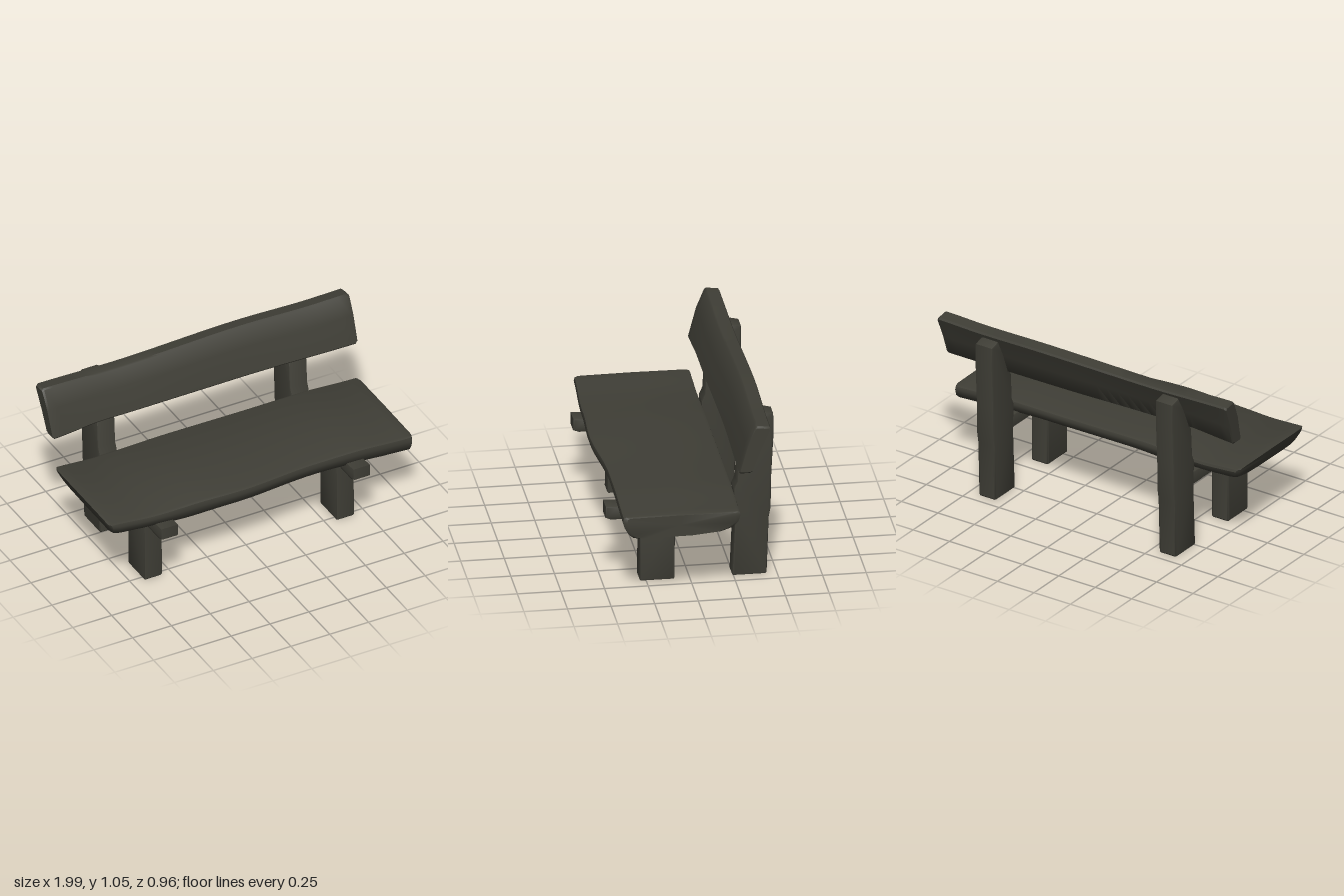
import * as THREE from 'three';
import { toCreasedNormals } from 'three/addons/utils/BufferGeometryUtils.js';

// Smoothly interpolate a small table of [x, value] pairs
function sample(table, x) {
  if (x <= table[0][0]) return table[0][1];
  for (let i = 1; i < table.length; i++) {
    const [x0, a] = table[i - 1], [x1, b] = table[i];
    if (x <= x1) {
      const t = (x - x0) / (x1 - x0);
      return a + (b - a) * t * t * (3 - 2 * t);
    }
  }
  return table[table.length - 1][1];
}

// Skin closed rings running along +x (each counter-clockwise seen from +x), with end caps
function loft(rings, crease) {
  const n = rings[0].length, pos = [], idx = [];
  rings.forEach(r => r.forEach(p => pos.push(...p)));
  for (let i = 0; i < rings.length - 1; i++) {
    for (let j = 0; j < n; j++) {
      const k = (j + 1) % n, a = i * n + j, b = i * n + k;
      idx.push(a, b, b + n, a, b + n, a + n);
    }
  }
  for (const end of [0, rings.length - 1]) {
    const c = pos.length / 3;
    for (let d = 0; d < 3; d++) pos.push(rings[end].reduce((s, p) => s + p[d], 0) / n);
    for (let j = 0; j < n; j++) {
      const a = end * n + j, b = end * n + (j + 1) % n;
      if (end) idx.push(c, a, b); else idx.push(c, b, a);
    }
  }
  const g = new THREE.BufferGeometry();
  g.setAttribute('position', new THREE.Float32BufferAttribute(pos, 3));
  g.setIndex(idx);
  return toCreasedNormals(g, crease);
}

// Stations 0..1 along a plank, with tight extra rings that round its ends
function stations(count) {
  const list = [[0, 0.93], [0.006, 1]];
  for (let i = 1; i < count; i++) list.push([i / count, 1]);
  list.push([0.994, 1], [1, 0.93]);
  return list;
}

// Pull a ring towards its centre by factor s
function shrink(ring, s) {
  const c = [1, 2].map(d => ring.reduce((t, p) => t + p[d], 0) / ring.length);
  return ring.map(p => [p[0], c[0] + (p[1] - c[0]) * s, c[1] + (p[2] - c[1]) * s]);
}

// Seat: wavy live-edge slab, rounded underneath
function seatGeometry() {
  const top = [[-0.97, 0.562], [-0.7, 0.547], [-0.3, 0.557], [0.3, 0.552], [0.6, 0.553], [0.99, 0.535]];
  const bottom = [[-0.97, 0.46], [-0.9, 0.443], [-0.7, 0.436], [-0.45, 0.418], [-0.2, 0.43],
    [0.4, 0.43], [0.65, 0.42], [0.85, 0.407], [0.99, 0.398]];
  const front = [[-0.97, 0.422], [-0.5, 0.443], [-0.15, 0.458], [0.35, 0.423], [0.99, 0.428]];
  // Section as [back-to-front, bottom-to-top] fractions
  const section = [[0.5, 1], [0.97, 0.98], [0.992, 0.93], [1, 0.75], [0.985, 0.5], [0.95, 0.2], [0.91, 0.05],
    [0.84, 0], [0.4, 0.02], [0.17, 0.12], [0.07, 0.28], [0.02, 0.5], [0, 0.8], [0.008, 0.93], [0.03, 0.98]];
  const rings = stations(32).map(([t, s]) => {
    const x = -0.97 + 1.955 * t;
    const y0 = sample(bottom, x), y1 = sample(top, x), z1 = sample(front, x);
    return shrink(section.map(([u, v]) => [
      x + 0.04 * (1 - v) * Math.max(0, 1 - t * 8) + 0.006 * (1 - v) * t,
      y0 + (y1 - y0) * v, -0.247 + (z1 + 0.247) * u]), s);
  });
  return loft(rings, 0.7);
}

// Backrest: leaning board with slightly uneven edges
function backrestGeometry() {
  const top = [[-1, 1.049], [-0.5, 1.037], [0.3, 1.05], [0.7, 1.044], [0.985, 1.05]];
  const bottom = [[-1, 0.753], [-0.65, 0.777], [-0.4, 0.775], [0.2, 0.77], [0.985, 0.763]];
  const sway = [[-1, 0.004], [-0.5, 0.002], [0.3, -0.008], [0.985, 0.002]];
  // Section as [z, bottom-to-top fraction]
  const section = [[-0.345, 1], [-0.335, 0.975], [-0.287, 0.6], [-0.24, 0.03], [-0.245, 0],
    [-0.3, 0], [-0.315, 0.03], [-0.36, 0.45], [-0.422, 0.93], [-0.415, 0.97]];
  const rings = stations(28).map(([t, s]) => shrink(section.map(([z, v]) => {
    const x = -0.98 - 0.018 * v + (1.965 + 0.014 * v) * t;
    const y0 = sample(bottom, x), y1 = sample(top, x);
    return [x, y0 + (y1 - y0) * v, z + sample(sway, x)];
  }), s));
  return loft(rings, 0.7);
}

// Timber cut to a side outline of [z, y] points, bevelled, centred on x = 0
function timber(outline, width) {
  const b = 0.01;
  const shape = new THREE.Shape(outline.map(([z, y]) => new THREE.Vector2(-z, y)));
  const g = new THREE.ExtrudeGeometry(shape, {
    depth: width - 2 * b, bevelEnabled: true, bevelSize: b, bevelOffset: -b, bevelThickness: b, bevelSegments: 2
  });
  g.translate(0, 0, b - width / 2);
  g.rotateY(Math.PI / 2);
  return toCreasedNormals(g, 0.6);
}

export function createModel() {
  const bench = new THREE.Group();
  bench.name = 'bench';
  const wood = new THREE.MeshStandardMaterial({ color: 0x3f3e36 });
  wood.name = 'dark weathered wood';

  const add = (name, geometry, x = 0) => {
    const mesh = new THREE.Mesh(geometry, wood);
    mesh.name = name;
    mesh.position.x = x;
    bench.add(mesh);
  };

  add('seat', seatGeometry());
  add('backrest', backrestGeometry());

  // Side frames: front leg, seat bearer and tall back post
  const leg = timber([[0.287, 0.008], [0.28, 0], [0.092, 0], [0.086, 0.008], [0.085, 0.42], [0.285, 0.42]], 0.115);
  const bearer = timber([[0.483, 0.475], [0.483, 0.402], [0.45, 0.389], [-0.3, 0.389], [-0.3, 0.47], [0.42, 0.47]], 0.112);
  const post = timber([[-0.243, 0.008], [-0.25, 0], [-0.435, 0], [-0.441, 0.008], [-0.453, 0.35], [-0.464, 0.41],
    [-0.467, 0.6], [-0.48, 0.85], [-0.479, 0.987], [-0.412, 1.003], [-0.37, 0.93], [-0.283, 0.755],
    [-0.272, 0.58], [-0.252, 0.535], [-0.26, 0.39]], 0.116);
  for (const [side, x] of [['right', -0.615], ['left', 0.622]]) {
    add(side + 'FrontLeg', leg, x);
    add(side + 'SeatBearer', bearer, x);
    add(side + 'BackPost', post, x);
  }
  return bench;
}
